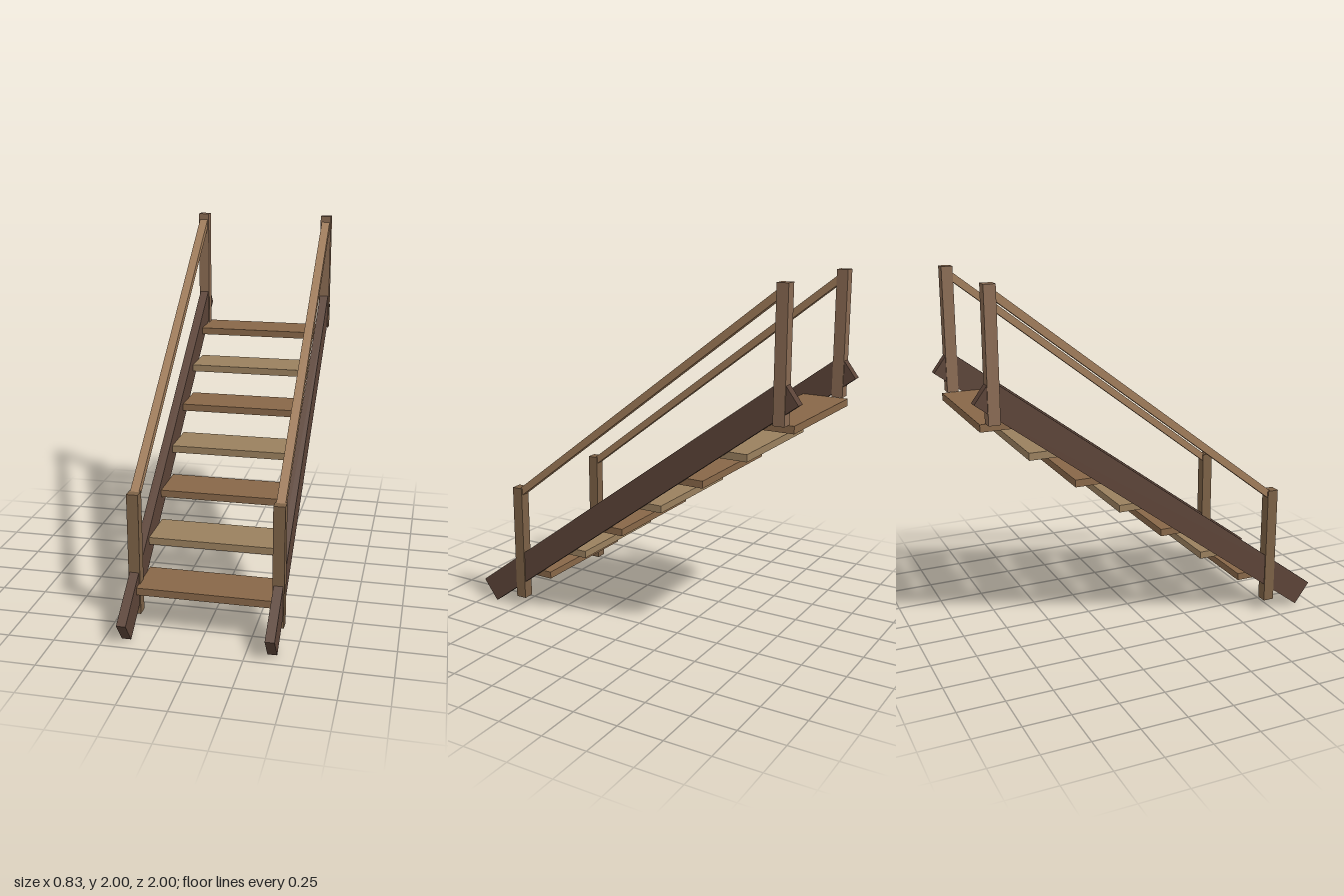
import * as THREE from 'three';

const wood = (color) => new THREE.MeshStandardMaterial({ color, flatShading: true });
const stringerWood = wood(0x5c4438);
const railWood = wood(0xa07c5a);
const frontPostWood = wood(0x7c6146);
const backPostWood = wood(0x896a52);
const treadWoods = [wood(0x886748), wood(0x9a805e)];

function box(name, material, size, position) {
  const mesh = new THREE.Mesh(new THREE.BoxGeometry(...size), material);
  mesh.name = name;
  mesh.position.set(...position);
  return mesh;
}

// Sloping beam whose centre line runs between two [y, z] points
function beam(name, material, x, width, height, [y0, z0], [y1, z1]) {
  const length = Math.hypot(y1 - y0, z1 - z0);
  const mesh = box(name, material, [width, height, length], [x, (y0 + y1) / 2, (z0 + z1) / 2]);
  mesh.rotation.x = Math.atan2(y1 - y0, z0 - z1);
  return mesh;
}

export function createModel() {
  const group = new THREE.Group();
  group.name = 'staircase';

  // Open treads rising towards the back
  for (let i = 0; i < 7; i++) {
    group.add(box('tread' + (i + 1), treadWoods[i % 2],
      [0.72, 0.04, 0.26], [0, 0.22 + i * 0.178, 0.67 - i * 0.25]));
  }

  // Stringer, posts and handrail on each side
  for (const [label, s] of [['left', 1], ['right', -1]]) {
    const x = s * 0.384;
    const side = new THREE.Group();
    side.name = label + 'Side';
    side.add(
      beam('stringer', stringerWood, x, 0.05, 0.147, [0.06, 0.955], [1.48, -0.955]),
      box('frontPost', frontPostWood, [0.062, 0.675, 0.062], [x, 0.4025, 0.72]),
      box('backPost', backPostWood, [0.062, 0.69, 0.062], [x, 1.655, -0.9]),
      beam('handrail', railWood, x, 0.048, 0.04, [0.702, 0.72], [1.952, -0.885]),
    );
    group.add(side);
  }
  return group;
}
